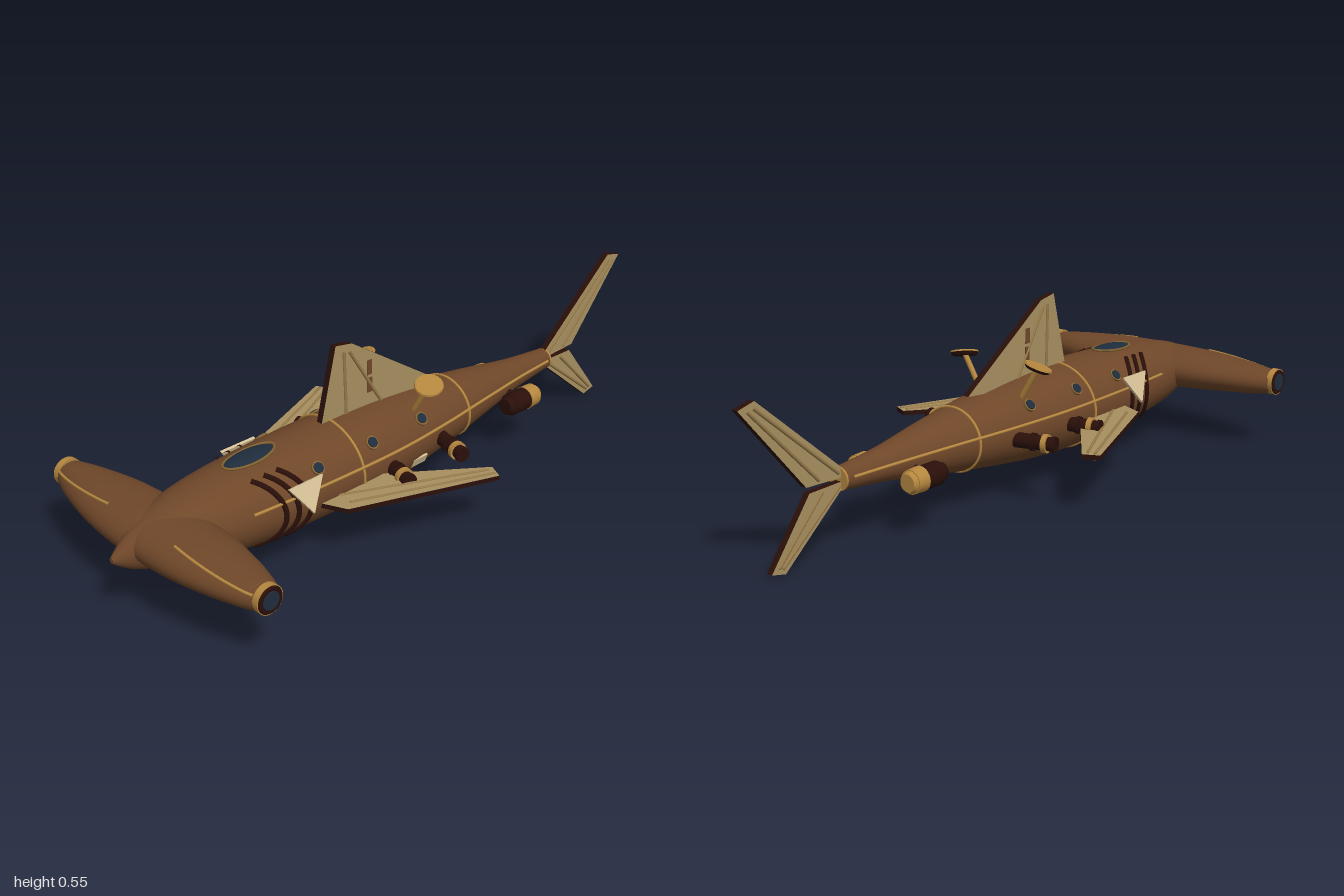
import * as THREE from 'three';

const mat = (name, color) => Object.assign(new THREE.MeshStandardMaterial({ color }), { name });
const V = (x, y, z) => new THREE.Vector3(x, y, z);
const UP = V(0, 1, 0);

// Hull stations: z, half width, half height, centre height
const HULL = [
  [1.0, .008, .008, .2], [.97, .025, .032, .2], [.93, .046, .055, .202], [.85, .09, .08, .205],
  [.73, .123, .105, .203], [.55, .142, .122, .2], [.3, .15, .13, .198], [.1, .145, .126, .198],
  [-.1, .12, .106, .199], [-.3, .085, .08, .2], [-.5, .05, .048, .2], [-.66, .032, .032, .2]];
// Head stations: x, half depth, half height, centre height
const HEAD = [
  [-.42, .04, .035, .218], [-.38, .057, .042, .217], [-.3, .08, .05, .217], [-.2, .1, .058, .216],
  [-.1, .109, .063, .214], [0, .112, .064, .214], [.1, .109, .063, .214], [.2, .1, .058, .216],
  [.3, .08, .05, .217], [.38, .057, .042, .217], [.42, .04, .035, .218]];

// Smooth interpolation between stations
function section(list, p) {
  const s = Math.sign(list[1][0] - list[0][0]);
  let i = 0;
  while (i < list.length - 2 && (p - list[i + 1][0]) * s > 0) i++;
  const at = k => list[Math.min(Math.max(k, 0), list.length - 1)];
  const [a, b, c, d] = [at(i - 1), at(i), at(i + 1), at(i + 2)];
  const t = (p - b[0]) / (c[0] - b[0]);
  return [1, 2, 3].map(k => {
    const m = (q, r) => (r[k] - q[k]) / (r[0] - q[0]) * (c[0] - b[0]);
    const t2 = t * t, t3 = t2 * t;
    return (2 * t3 - 3 * t2 + 1) * b[k] + (t3 - 2 * t2 + t) * m(a, c)
      + (3 * t2 - 2 * t3) * c[k] + (t3 - t2) * m(b, d);
  });
}
function hullAt(z, a, lift = 0) {
  const [w, h, y] = section(HULL, z);
  return V((w + lift) * Math.cos(a), y + (h + lift) * Math.sin(a), z);
}
function hullNormal(z, a) {
  const [w, h] = section(HULL, z);
  return V(Math.cos(a) / w, Math.sin(a) / h, 0).normalize();
}
function headAt(x, a) {
  const [d, h, y] = section(HEAD, x);
  return V(x, y + h * Math.sin(a), .84 + d * Math.cos(a));
}
// Skin of rings between two ends
function loft(fn, from, to, rings, sides) {
  const pos = [], idx = [];
  for (let i = 0; i <= rings; i++) for (let j = 0; j < sides; j++) {
    pos.push(...fn(from + (to - from) * i / rings, j / sides * Math.PI * 2).toArray());
    if (i === rings) continue;
    const a = i * sides + j, b = i * sides + (j + 1) % sides;
    idx.push(a, a + sides, b, b, a + sides, b + sides);
  }
  const g = new THREE.BufferGeometry();
  g.setAttribute('position', new THREE.Float32BufferAttribute(pos, 3));
  g.setIndex(idx);
  g.computeVertexNormals();
  return g;
}

export function createModel() {
  const root = new THREE.Group();
  root.name = 'sharkAirship';
  const brown = mat('hullBrown', 0x6f4729), brass = mat('brass', 0xb5873f), dark = mat('darkIron', 0x2a0f09);
  const canvas = mat('finCanvas', 0xa89060), pale = mat('paleCanvas', 0xd8c298);
  const glass = mat('blueGlass', 0x1e2c3c), dull = mat('dullBrass', 0x80602f), batten = mat('finBatten', 0x94794a);

  const add = (name, geo, m) => {
    const o = new THREE.Mesh(geo, m);
    o.name = name;
    root.add(o);
    return o;
  };
  // Round bar from a to b
  const rod = (name, a, b, r, m, r2 = r, sides = 16) => {
    const o = add(name, new THREE.CylinderGeometry(r2, r, a.distanceTo(b), sides), m);
    o.position.copy(a).lerp(b, .5);
    o.quaternion.setFromUnitVectors(UP, b.clone().sub(a).normalize());
    return o;
  };
  const tube = (name, n, fn, r, m, closed = false) => {
    const pts = Array.from({ length: n }, (_, i) => fn(closed ? i / n : i / (n - 1)));
    return add(name, new THREE.TubeGeometry(new THREE.CatmullRomCurve3(pts, closed), n * 3, r, 8, closed), m);
  };
  const plate = (pts, t) => new THREE.ExtrudeGeometry(
    new THREE.Shape(pts.map(p => new THREE.Vector2(...p))), { depth: t, bevelEnabled: false }).translate(0, 0, -t / 2);

  // Hull, hammer head and tail end
  add('hull', loft(hullAt, 1, -.66, 80, 48), brown);
  add('head', loft(headAt, -.42, .42, 48, 40), brown);
  rod('noseTip', V(0, .2, .985), V(0, .2, 1), .016, brown, .008);
  rod('tailCap', V(0, .2, -.656), V(0, .2, -.662), .033, brass);
  for (const z of [.262, -.21])
    tube('hullSeam', 32, t => hullAt(z, t * Math.PI * 2, .001), .004, brass, true);

  // Skylight on the back
  const ring = t => {
    const a = t * Math.PI * 2, x = .037 * Math.cos(a), z = .545 + .085 * Math.sin(a);
    const [w] = section(HULL, z);
    return hullAt(z, Math.acos(x / w), .003);
  };
  tube('skylightRim', 32, ring, .004, dull, true);
  const sky = add('skylightGlass', new THREE.SphereGeometry(1, 32, 16), glass);
  sky.scale.set(.036, .012, .083);
  sky.position.set(0, .32, .545);
  sky.rotation.x = .04;

  // Upright fins in the middle plane: outline as (z, y), dark edges, battens on both faces
  const uprightFin = (name, pts, battens) => {
    add(name, plate(pts, .02).rotateY(-Math.PI / 2), [canvas, dark]);
    for (const s of [1, -1]) for (const [z0, y0, z1, y1] of battens)
      rod(name + 'Batten', V(s * .01, y0, z0), V(s * .01, y1, z1), .005, batten);
  };
  uprightFin('dorsalFin', [[.295, .315], [.235, .546], [.175, .535], [-.155, .312], [.1, .29]],
    [[.2, .31, .205, .52], [.06, .31, .185, .515]]);
  uprightFin('upperTailFin', [[-.655, .23], [-.945, .474], [-1, .46], [-.785, .21], [-.65, .205]],
    [[-.67, .22, -.95, .457], [-.74, .218, -.97, .452]]);
  uprightFin('lowerTailFin', [[-.655, .178], [-.865, .001], [-.912, .012], [-.775, .192], [-.65, .195]],
    [[-.67, .183, -.875, .018], [-.73, .185, -.888, .022]]);
  for (const s of [1, -1]) for (const y of [.385, .44]) {
    const patch = add('dorsalPatch', new THREE.BoxGeometry(.004, .045, .018), brown);
    patch.position.set(s * .0105, y, .11);
  }

  for (const s of [1, -1]) {
    const side = a => (s > 0 ? a : Math.PI - a);

    // Eyes on the ends of the head
    rod('eyeSocket', V(s * .413, .22, .842), V(s * .432, .22, .842), .041, brass, .041, 32);
    rod('eyeFace', V(s * .43, .22, .842), V(s * .436, .22, .842), .04, dark, .036, 32);
    rod('eyeLens', V(s * .43, .22, .842), V(s * .438, .22, .842), .029, glass, .025, 32);
    tube('browTrim', 12, t => headAt(s * (.14 + .27 * t), .95 - .35 * t), .004, brass);

    // Gill slits, side rail and portholes
    for (let i = 0; i < 3; i++)
      tube('gillSlit', 14, t => {
        const k = 2 * t - 1;
        return hullAt(.54 - i * .042 + .062 * k * k, side(k));
      }, .008, dark);
    tube('sideRail', 30, t => hullAt(.64 - 1.28 * t, side(.3 - .1 * t), .002), .0045, brass);
    for (const z of [.405, .205, 0]) {
      const a = side(.66), p = hullAt(z, a), n = hullNormal(z, a);
      const out = d => p.clone().addScaledVector(n, d);
      rod('portholeRim', out(-.01), out(.005), .02, dull);
      rod('portholeGlass', out(-.01), out(.008), .015, glass);
    }

    // Pale flap behind the gills and hull patch
    const flap = add('sideFlap', plate([[-.06, 0], [0, -.09], [.06, 0]], .008).rotateY(Math.PI / 2), pale);
    flap.rotation.z = s * .36;
    flap.position.set(s * .141, .272, .47);
    const pa = side(-.36);
    const patch = add('hullPatch', new THREE.BoxGeometry(.055, .006, .03), pale);
    patch.position.copy(hullAt(.03, pa));
    patch.quaternion.setFromUnitVectors(UP, hullNormal(.03, pa));
    patch.rotateY(Math.PI / 2);

    // Swept side fins with dark edges and battens
    const outline = [[.12, .43], [.218, .388], [.382, -.033], [.335, -.055], [.12, .225]];
    const fin = add('pectoralFin', plate(outline.map(([x, z]) => [s * x, z]), .014).rotateX(Math.PI / 2), [canvas, dark]);
    fin.position.y = .178;
    const f = (x, z, y) => V(s * x, y, z);
    for (const y of [.171, .185]) for (const [x0, x1] of [[.145, .34], [.195, .364]])
      rod('pectoralBatten', f(x0, .36, y), f(x1, -.035, y), .004, batten);

    // Broadside cannons
    for (const z of [-.068, .145]) {
      const a = V(s * .09, .188, z - .01), b = V(s * .235, .188, z + .027);
      const at = t => a.clone().lerp(b, t);
      rod('cannonBarrel', a, at(.97), .023, dark, .02);
      rod('cannonBand', at(.5), at(.58), .026, dark);
      rod('cannonCollar', at(.74), at(.84), .027, brass);
      rod('cannonMuzzle', at(.93), b, .023, dark);
    }

    // Tilted dishes on stalks
    const n = V(s * .27, 1, .27).normalize(), c = V(s * .137, .388, 0);
    const above = d => c.clone().addScaledVector(n, d);
    rod('dishStalk', V(s * .075, .285, 0), c, .008, brass);
    rod('dishBack', above(-.009), above(0), .034, dark, .041, 32);
    rod('dishFace', above(0), above(.005), .042, brass, .04, 32);

    // Rear engines
    const e = z => V(s * .1, .168, z);
    rod('engineBody', e(-.39), e(-.46), .034, dark, .034, 24);
    rod('engineIntake', e(-.37), e(-.395), .025, dark, .034, 24);
    rod('engineNozzle', e(-.455), e(-.495), .036, brass, .034, 24);
    rod('engineEnd', e(-.49), e(-.508), .034, brass, .025, 24);
    rod('engineStrut', V(s * .03, .19, -.43), e(-.43), .012, dark);
  }
  return root;
}
